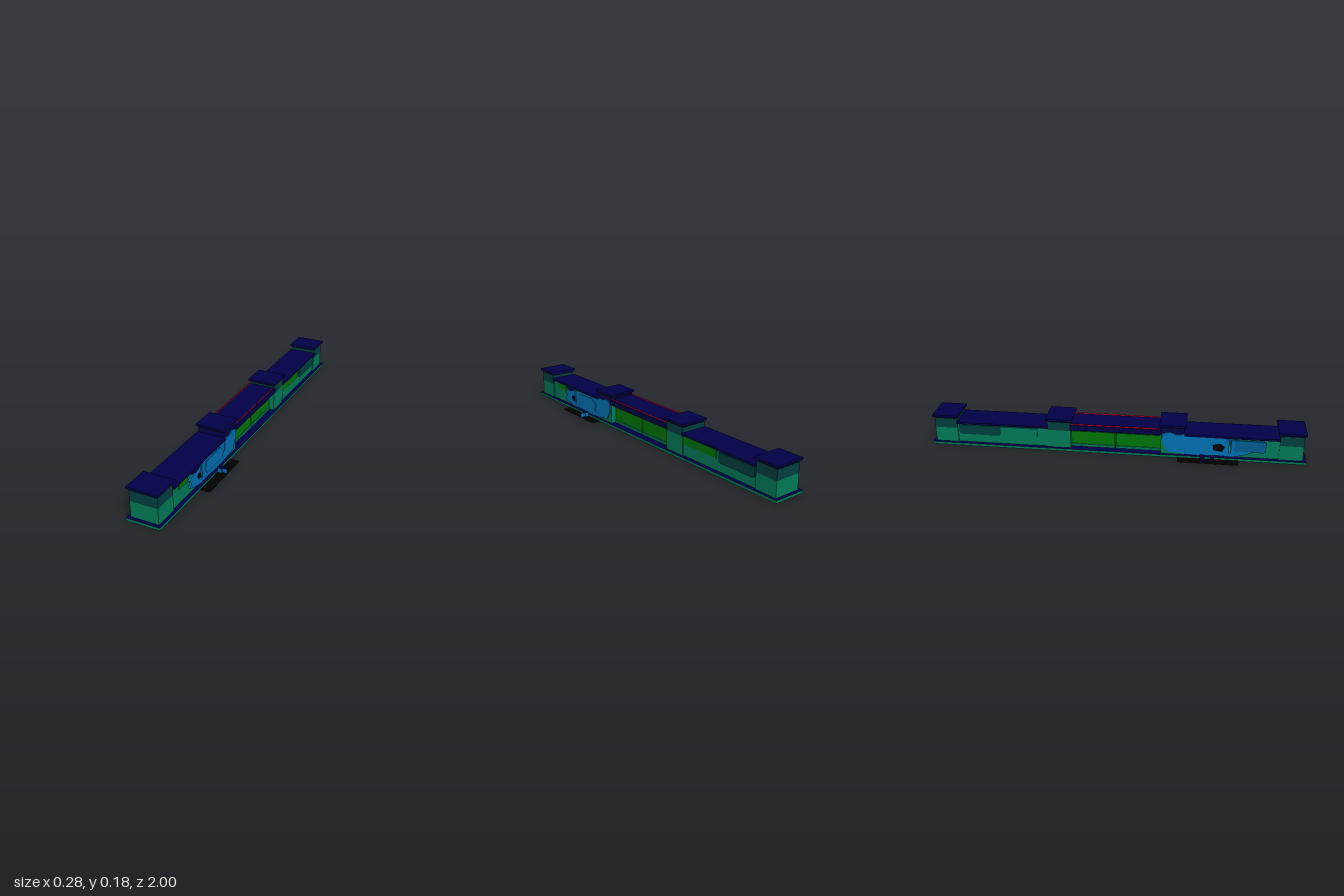
import * as THREE from 'three';

const mat = (name, color) => {
  const m = new THREE.MeshStandardMaterial({ color });
  m.name = name;
  return m;
};

export function createModel() {
  const model = new THREE.Group();
  model.name = 'fortifiedWall';
  const teal = mat('teal stone', 0x007a58);
  const darkTeal = mat('dark teal stone', 0x003e3e);
  const navy = mat('navy slab', 0x000048);
  const green = mat('green panel', 0x007508);
  const darkGreen = mat('dark green rail', 0x00460a);
  const blue = mat('blue damage', 0x0070b4);
  const deepBlue = mat('deep blue panel', 0x005c90);
  const red = mat('red trim', 0xd8003c);
  const black = mat('black scorch', 0x000000);

  // Box given by its extents along each axis
  const box = (name, m, x0, x1, y0, y1, z0, z1) => {
    const mesh = new THREE.Mesh(new THREE.BoxGeometry(x1 - x0, y1 - y0, z1 - z0), m);
    mesh.position.set((x0 + x1) / 2, (y0 + y1) / 2, (z0 + z1) / 2);
    mesh.name = name;
    model.add(mesh);
  };
  // Box centred on x = 0
  const mid = (name, m, w, y0, y1, z0, z1) => box(name, m, -w, w, y0, y1, z0, z1);
  // Mirrored pair of boxes on both long sides
  const pair = (name, m, x0, x1, y0, y1, z0, z1) => {
    box(name + 'Left', m, x0, x1, y0, y1, z0, z1);
    box(name + 'Right', m, -x1, -x0, y0, y1, z0, z1);
  };
  // Flat plate cut from a (z, y) outline, its outer face at x on side +1 (left) or -1 (right)
  const sidePlate = (name, m, side, points, x, depth, holes = []) => {
    const toVec = ([z, y]) => new THREE.Vector2(z, y);
    const shape = new THREE.Shape(points.map(toVec));
    holes.forEach(h => shape.holes.push(new THREE.Path(h.map(toVec))));
    const geo = new THREE.ExtrudeGeometry(shape, { depth, bevelEnabled: false });
    geo.rotateY(-Math.PI / 2);
    geo.translate(side > 0 ? x : depth - x, 0, 0);
    const mesh = new THREE.Mesh(geo, m);
    mesh.name = name + (side > 0 ? 'Left' : 'Right');
    model.add(mesh);
  };

  // Base slab: teal edges, navy top and underside
  mid('base', [teal, teal, navy, navy, teal, teal], 0.088, 0, 0.014, -1, 1);

  // Four pillars with necks and overhanging caps
  const pillars = [
    { z: 0.92, top: 0.16, split: 0.096, upper: darkTeal },
    { z: 0.305, top: 0.171, split: 0.13, upper: navy },
    { z: -0.3, top: 0.171, split: 0.115, upper: darkTeal },
    { z: -0.92, top: 0.16, split: 0.096, upper: darkTeal },
  ];
  for (const { z, top, split, upper } of pillars) {
    mid('pillar', teal, 0.072, 0.014, split, z - 0.062, z + 0.062);
    mid('pillarTop', upper, 0.072, split, top - 0.01, z - 0.062, z + 0.062);
    mid('pillarJoint', black, 0.071, top - 0.01, top - 0.006, z - 0.061, z + 0.061);
    mid('pillarNeck', navy, 0.073, top - 0.006, top, z - 0.063, z + 0.063);
    mid('pillarCap', navy, 0.082, top, top + 0.011, z - 0.071, z + 0.071);
  }

  // Front wall, pierced by a narrow slit
  const slit = [0.6, 0.61];
  mid('frontWall', teal, 0.066, 0.014, 0.124, slit[1], 0.86);
  mid('frontWall', teal, 0.066, 0.014, 0.124, 0.36, slit[0]);
  mid('slitSill', teal, 0.066, 0.014, 0.04, slit[0], slit[1]);
  mid('slitLintel', teal, 0.066, 0.11, 0.124, slit[0], slit[1]);
  mid('frontCoping', navy, 0.08, 0.124, 0.135, 0.366, 0.86);
  box('frontGreenPanel', green, 0.066, 0.069, 0.085, 0.12, 0.72, 0.8);

  // Ragged blue damaged area on each side, with the slit cut through
  for (const side of [1, -1]) {
    sidePlate('damage', blue, side, [
      [0.36, 0.018], [0.46, 0.014], [0.55, 0.02], [0.62, 0.016], [0.68, 0.03], [0.715, 0.045],
      [0.7, 0.065], [0.72, 0.085], [0.685, 0.1], [0.66, 0.112], [0.6, 0.113], [0.57, 0.123], [0.36, 0.123],
    ], 0.075, 0.009, [[[0.6, 0.04], [0.61, 0.04], [0.61, 0.11], [0.6, 0.11]]]);
    // Broken rim over the teal pillar
    sidePlate('pillarDamage', blue, side, [
      [0.28, 0.03], [0.37, 0.02], [0.37, 0.135], [0.33, 0.128], [0.29, 0.142], [0.26, 0.135],
      [0.247, 0.11], [0.258, 0.07],
    ], 0.077, 0.006);
  }
  sidePlate('damageBulge', blue, 1, [
    [0.4, 0.045], [0.56, 0.045], [0.575, 0.07], [0.56, 0.108], [0.42, 0.112], [0.39, 0.08],
  ], 0.079, 0.004);
  sidePlate('damageSpot', navy, 1, [
    [0.63, 0.108], [0.66, 0.1], [0.7, 0.112], [0.69, 0.124], [0.62, 0.124],
  ], 0.077, 0.003);
  sidePlate('breach', black, 1, [
    [0.615, 0.05], [0.635, 0.05], [0.645, 0.07], [0.635, 0.08], [0.615, 0.078],
  ], 0.0765, 0.002);
  sidePlate('breach', black, -1, [
    [0.52, 0.05], [0.565, 0.045], [0.58, 0.075], [0.55, 0.09], [0.515, 0.08],
  ], 0.0765, 0.002);
  sidePlate('deepPanel', deepBlue, -1, [
    [0.63, 0.05], [0.78, 0.05], [0.79, 0.06], [0.79, 0.105], [0.78, 0.115], [0.63, 0.115],
  ], 0.078, 0.008);

  // Centre section: narrow green walls under a wide roof
  for (const [z0, z1] of [[0.003, 0.245], [-0.24, -0.003]]) {
    mid('centreWall', green, 0.042, 0.014, 0.124, z0, z1);
    pair('centreFoot', teal, 0.042, 0.047, 0.014, 0.028, z0, z1);
    pair('centreRail', darkGreen, 0.042, 0.045, 0.1, 0.104, z0, z1);
    pair('centreLine', black, 0.042, 0.047, 0.107, 0.112, z0, z1);
  }
  mid('centreRoof', navy, 0.08, 0.124, 0.152, -0.24, 0.245);
  // Upright red edging on the roof
  pair('redTrim', red, 0.0705, 0.0715, 0.152, 0.159, -0.235, 0.24);

  // Back wall: green and dark panels on the left, dark panel and stone frame on the right
  mid('backWall', teal, 0.066, 0.014, 0.124, -0.86, -0.36);
  mid('backCoping', navy, 0.08, 0.124, 0.135, -0.86, -0.36);
  box('backGreenPanel', green, 0.066, 0.07, 0.076, 0.121, -0.6, -0.362);
  box('backStonePanel', teal, -0.072, -0.066, 0.062, 0.115, -0.62, -0.42);
  for (const side of [1, -1]) {
    sidePlate('backDarkPanel', darkTeal, side, [
      [-0.85, 0.068], [-0.84, 0.062], [-0.63, 0.062], [-0.62, 0.07], [-0.62, 0.115], [-0.85, 0.115],
    ], 0.072, 0.006);
  }

  // Scorched ground plates with rubble on both sides
  pair('scorchPlate', black, 0.086, 0.14, 0.003, 0.0035, 0.335, 0.65);
  const rubble = [navy, navy, navy, navy, blue, blue];
  pair('rubbleInner', rubble, 0.088, 0.112, 0.0035, 0.027, 0.45, 0.475);
  pair('rubbleOuter', rubble, 0.112, 0.137, 0.0035, 0.027, 0.455, 0.467);
  box('rubbleStoneRight', rubble, -0.1, -0.088, 0.0035, 0.018, 0.505, 0.525);

  return model;
}
